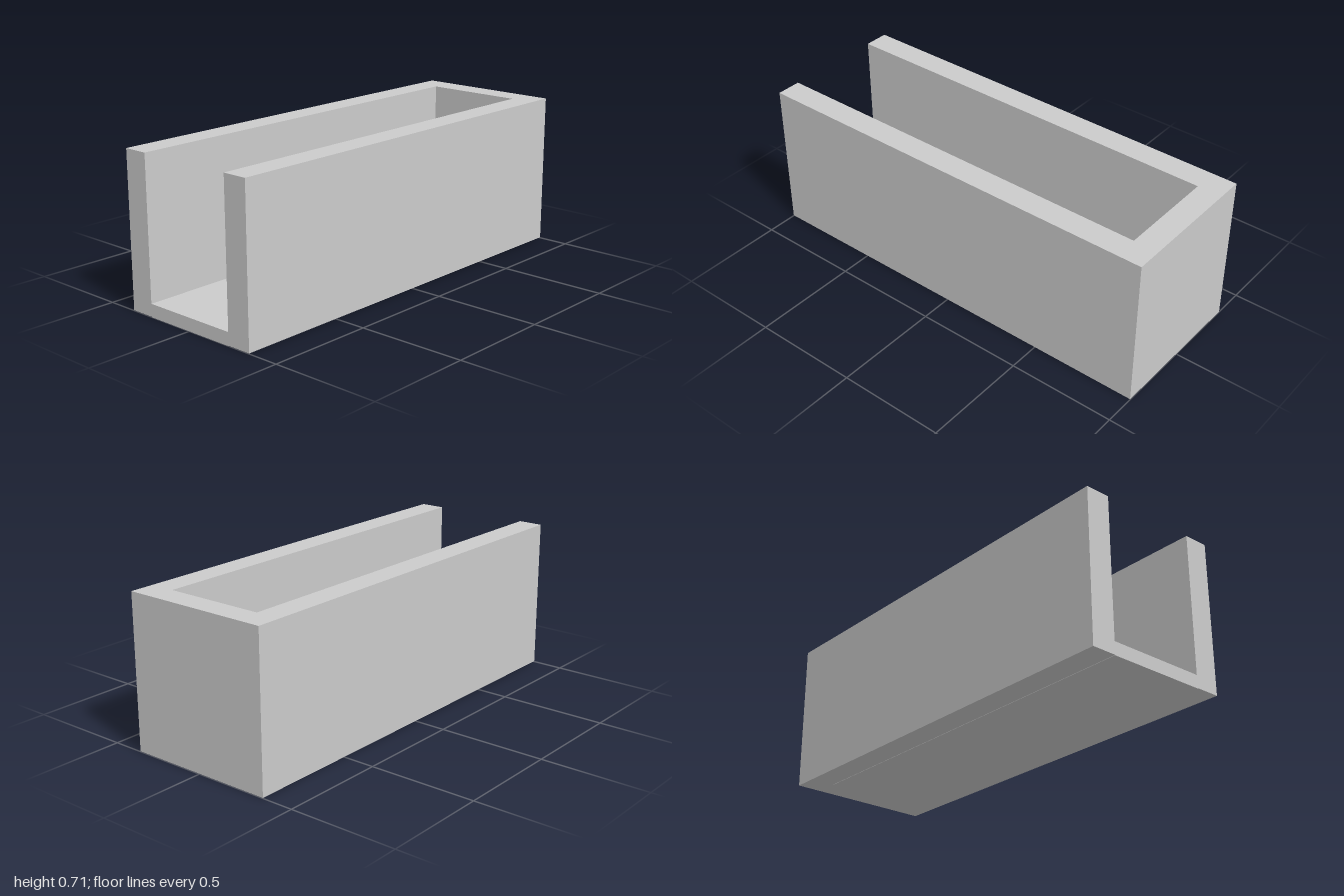
import * as THREE from 'three';

const HALF_W = 0.352, INNER = 0.235, TOP = 0.708, FLOOR = 0.06;
const BACK = 0.885, LIP = 0.002;

export function createModel() {
  const group = new THREE.Group();
  const material = new THREE.MeshStandardMaterial({ color: 0xcccccc, flatShading: true });

  // U-shaped wall: two sides and a back, open at the front
  const plan = new THREE.Shape([
    [-HALF_W, -1], [-INNER, -1], [-INNER, BACK], [INNER, BACK],
    [INNER, -1], [HALF_W, -1], [HALF_W, 1], [-HALF_W, 1],
  ].map(([x, y]) => new THREE.Vector2(x, y)));
  const wallGeometry = new THREE.ExtrudeGeometry(plan, { depth: TOP - LIP, bevelEnabled: false });
  wallGeometry.rotateX(-Math.PI / 2);
  const walls = new THREE.Mesh(wallGeometry, material);
  walls.name = 'walls';
  walls.position.y = LIP;

  // Floor panel between the walls, standing very slightly proud underneath
  const floor = new THREE.Mesh(new THREE.BoxGeometry(INNER * 2, FLOOR, 1 + BACK), material);
  floor.name = 'floor';
  floor.position.set(0, FLOOR / 2, (1 - BACK) / 2);

  group.add(walls, floor);
  return group;
}
